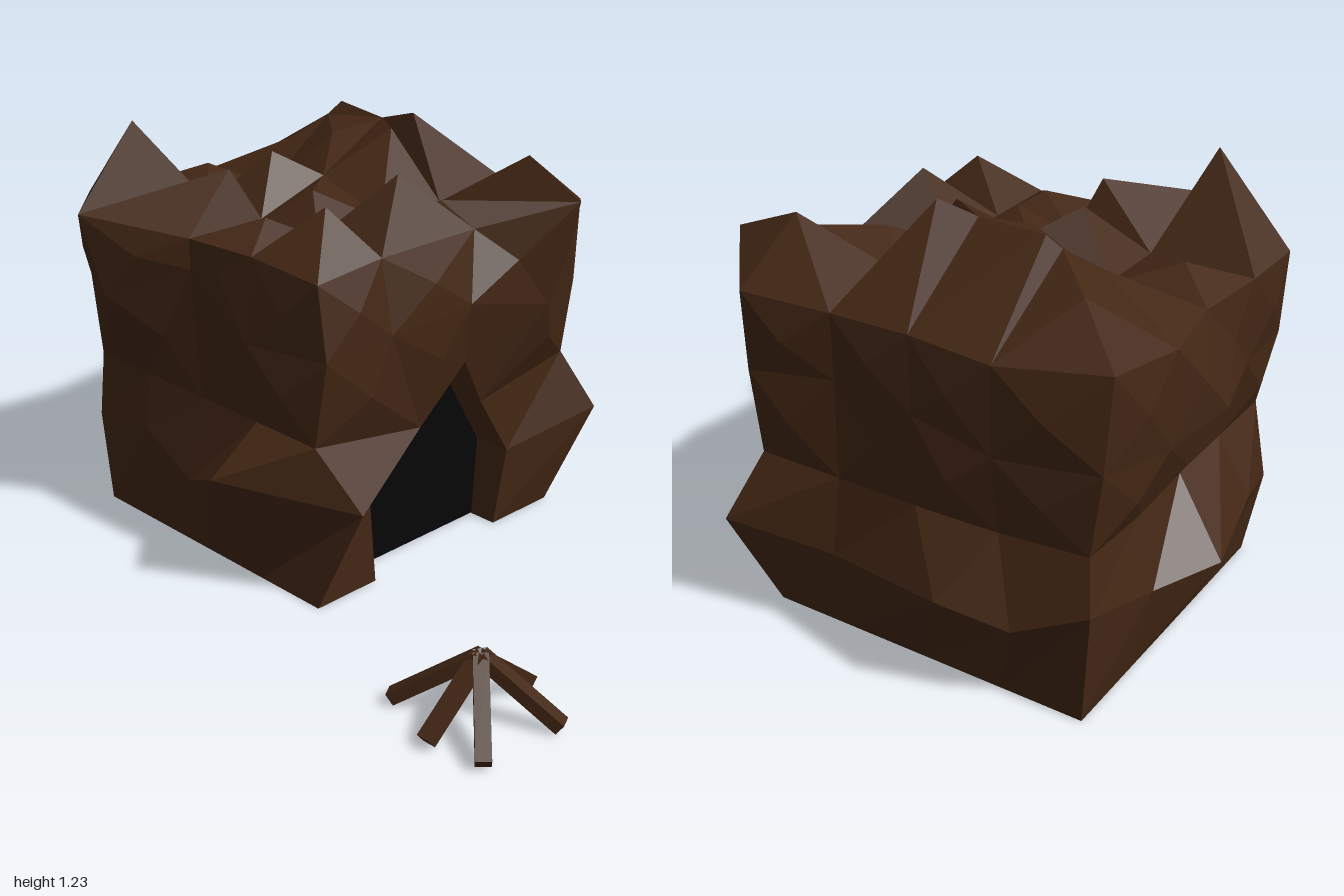
import * as THREE from 'three';

const brown = new THREE.MeshStandardMaterial({ color: 0x432715, flatShading: true, side: THREE.DoubleSide });
const black = new THREE.MeshStandardMaterial({ color: 0x060606 });

const X = [-0.83, -0.59, -0.35, -0.11, 0.13];
const Z = [0.43, 0.19, -0.05, -0.29, -0.53];
const CAVE_BACK = 0.035;

// Rock rings from the ground up, 16 columns each: front, cave side, back, far side.
// out = outward bulge, y = height of each column.
const RINGS = [
  { out: Array(16).fill(0), y: Array(16).fill(0) },
  {
    out: [0, 0.03, 0.06, 0.17, 0, 0, 0, 0.03, 0, 0.07, 0, 0, 0, 0.06, 0.17, 0.1],
    y: [0.27, 0.33, 0.25, 0.37, 0.31, 0.27, 0.3, 0.25, 0.3, 0.27, 0.31, 0.25, 0.33, 0.28, 0.32, 0.33],
  },
  {
    out: [0, 0, 0, 0, 0, 0.01, 0.03, 0.02, 0.03, 0.04, 0.04, 0.03, 0, 0.01, 0, 0],
    y: [0.49, 0.49, 0.49, 0.49, 0.49, 0.43, 0.59, 0.44, 0.49, 0.49, 0.49, 0.49, 0.49, 0.49, 0.49, 0.49],
  },
  {
    out: [0, 0.14, 0.02, 0.03, 0, 0.05, 0.04, 0.13, 0, 0.05, 0.06, 0.07, 0, 0.08, 0.12, 0.06],
    y: [0.73, 0.77, 0.88, 0.73, 0.74, 0.76, 0.78, 0.73, 0.73, 0.78, 0.76, 0.72, 0.74, 0.7, 0.72, 0.73],
  },
  {
    out: [0, 0.18, 0.02, 0, 0, 0.01, 0.01, 0.2, 0, 0.06, 0.07, 0.08, 0, 0.08, 0.04, 0.06],
    y: [0.98, 1.01, 0.97, 0.97, 0.95, 0.97, 0.97, 1.04, 0.97, 0.97, 0.98, 0.97, 1.0, 0.97, 0.97, 0.97],
  },
];

// Columns placed freely, for corners and the cave mouth: "level,column" -> [x, z]
const PLACED = {
  '0,5': [0.13, 0.21],
  '1,0': [-0.88, 0.42], '1,4': [0.25, 0.37], '1,5': [0.13, 0.23], '1,7': [0.16, -0.31],
  '1,8': [0.21, -0.66], '1,10': [-0.48, -0.68], '1,11': [-0.66, -0.61], '1,12': [-0.85, -0.55], '1,14': [-1, -0.13],
  '2,5': [0.14, 0.04], '2,6': [0.16, -0.12], '2,7': [0.15, -0.2], '2,8': [0.14, -0.57],
  '3,0': [-0.88, 0.42], '3,4': [0.17, 0.42], '3,6': [0.2, -0.1], '3,7': [0.26, -0.36],
  '3,8': [0.17, -0.58], '3,12': [-0.87, -0.56],
  '4,0': [-0.9, 0.39], '4,1': [-0.64, 0.61], '4,4': [0.14, 0.42], '4,6': [0.14, -0.17], '4,7': [0.33, -0.4],
  '4,8': [0.16, -0.61], '4,12': [-0.88, -0.55],
};

// Peaks in the top cells [x, y, z], row by row from front to back
const PEAKS = [
  [-0.68, 1.23, 0.38], [-0.4, 1.12, 0.26], [-0.2, 1.03, 0.3], [0.01, 1.1, 0.27],
  [-0.75, 1.03, 0.06], [-0.46, 1.12, 0.05], [-0.23, 1.06, 0.1], [0.02, 1.14, 0.01],
  [-0.66, 1.08, -0.2], [-0.44, 1.14, -0.17], [-0.24, 1.18, -0.22], [0.02, 1.03, -0.16],
  [-0.72, 1.1, -0.41], [-0.56, 1.19, -0.32], [-0.24, 1.21, -0.31], [0.12, 1.13, -0.42],
];

// Inner top corners that rise above the general level: "x index,z index" -> y
const RAISED = { '1,3': 1.15, '2,3': 1.18, '2,2': 1.05 };

// Bulge of the cell centres in the two upper bands of the walls
const BUMPS = [
  [0.02, 0, 0, 0.02, 0.03, 0.02, 0, 0.03, 0.03, 0, 0.03, 0.02, 0.03, 0.02, -0.02, 0.03],
  [0.03, 0.02, 0, 0.01, 0.02, 0.02, 0, 0, 0.03, 0.02, 0.02, 0.03, 0.02, 0.03, 0, 0.02],
];

// Outline of the cave mouth as [level, column]
const MOUTH = [[0, 5], [1, 5], [2, 5], [2, 6], [2, 7], [1, 7], [0, 7]];

// Position of a column: a fixed place, or the grid point pushed outward
function ringPoint(level, index) {
  const i = index % 16, side = Math.floor(i / 4), k = i % 4;
  const { out, y } = RINGS[level];
  const push = out[i];
  const [x, z] = PLACED[`${level},${i}`] ?? [
    [X[k], X[4] + push, X[4 - k], X[0] - push][side],
    [Z[0] + push, Z[k], Z[4] - push, Z[4 - k]][side],
  ];
  return [x, y[i], z];
}

function topPoint(i, j) {
  if (j === 0) return ringPoint(4, i);
  if (i === 4) return ringPoint(4, 4 + j);
  if (j === 4) return ringPoint(4, 12 - i);
  if (i === 0) return ringPoint(4, 16 - j);
  return [X[i], RAISED[`${i},${j}`] ?? 0.97, Z[j]];
}

function makeRock() {
  const pos = [];
  const tri = (a, b, c) => pos.push(...a, ...b, ...c);
  const quad = (a, b, c, d) => { tri(a, b, c); tri(a, c, d); };
  const fan = (corners, mid) => corners.forEach((c, k) => tri(c, corners[(k + 1) % 4], mid));

  // walls, leaving the cave mouth open
  for (let level = 0; level < 4; level++) {
    for (let i = 0; i < 16; i++) {
      if (level < 2 && (i === 5 || i === 6)) continue;
      const q = [
        ringPoint(level, i), ringPoint(level, i + 1),
        ringPoint(level + 1, i + 1), ringPoint(level + 1, i),
      ];
      if (level < 2) {
        quad(...q);
      } else {
        const mid = [0, 1, 2].map(k => (q[0][k] + q[1][k] + q[2][k] + q[3][k]) / 4);
        const side = Math.floor(i / 4), b = BUMPS[level - 2][i];
        mid[0] += [0, b, 0, -b][side];
        mid[2] += [b, 0, -b, 0][side];
        fan(q, mid);
      }
    }
  }
  // jagged top
  for (let j = 0; j < 4; j++) {
    for (let i = 0; i < 4; i++) {
      fan([topPoint(i, j), topPoint(i + 1, j), topPoint(i + 1, j + 1), topPoint(i, j + 1)], PEAKS[j * 4 + i]);
    }
  }
  // walls of the shallow recess behind the cave mouth
  const mouth = MOUTH.map(([level, i]) => ringPoint(level, i));
  const inner = mouth.map(([, y, z]) => [CAVE_BACK, y, z]);
  for (let k = 0; k < 6; k++) quad(mouth[k], inner[k], inner[k + 1], mouth[k + 1]);

  // underside, notched at the cave mouth
  const floor = (x0, x1, z0, z1) => quad([x0, 0, z0], [x0, 0, z1], [x1, 0, z1], [x1, 0, z0]);
  floor(X[0], CAVE_BACK, Z[0], Z[4]);
  floor(CAVE_BACK, X[4], Z[0], mouth[0][2]);
  floor(CAVE_BACK, X[4], mouth[6][2], Z[4]);

  const geo = new THREE.BufferGeometry();
  geo.setAttribute('position', new THREE.Float32BufferAttribute(pos, 3));
  geo.computeVertexNormals();
  const rock = new THREE.Mesh(geo, brown);
  rock.name = 'rock';
  return rock;
}

// Sticks leaning together in a star
function makeCampfire() {
  const fire = new THREE.Group();
  fire.name = 'campfire';
  const apex = new THREE.Vector3(0.79, 0.175, 0.49);
  const feet = [[0.79, 0.305], [0.79, 0.68], [0.625, 0.4], [0.98, 0.4], [0.595, 0.605], [0.95, 0.65]];
  for (const [x, z] of feet) {
    const foot = new THREE.Vector3(x, 0.02, z);
    const stick = new THREE.Mesh(new THREE.BoxGeometry(0.04, 0.035, apex.distanceTo(foot)), brown);
    stick.position.lerpVectors(apex, foot, 0.5);
    stick.lookAt(foot);
    stick.name = 'stick';
    fire.add(stick);
  }
  return fire;
}

export function createModel() {
  const model = new THREE.Group();
  model.name = 'caveAndCampfire';
  // dark block behind the cave mouth
  const cave = new THREE.Mesh(new THREE.BoxGeometry(0.15, 0.6, 0.58), black);
  cave.position.set(CAVE_BACK - 0.07, 0.302, -0.04);
  cave.name = 'caveInterior';
  model.add(makeRock(), cave, makeCampfire());
  return model;
}
